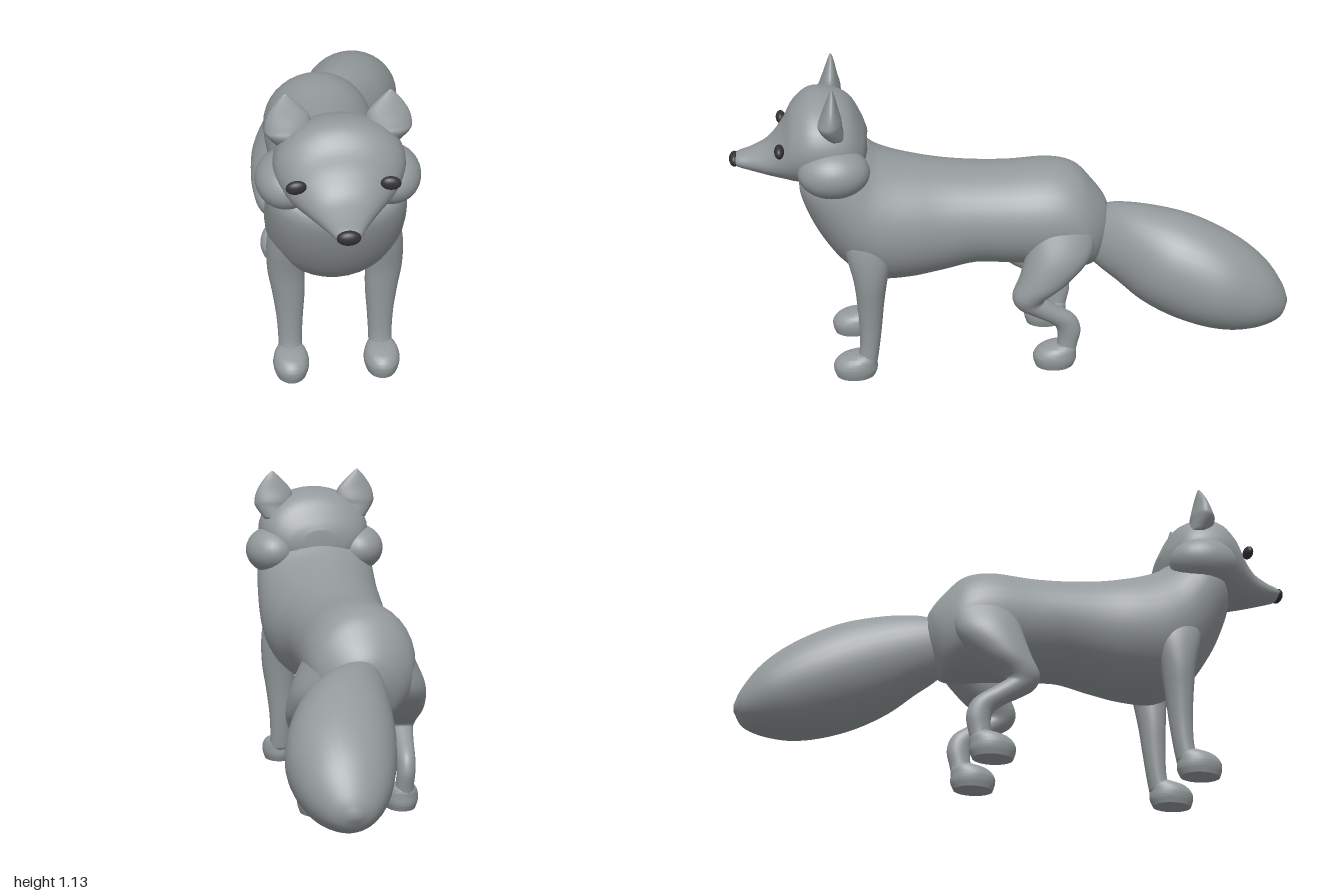
import * as THREE from 'three';
import { toCreasedNormals } from 'three/addons/utils/BufferGeometryUtils.js';

const MID = -0.053; // the body's plane of symmetry

// Smooth skin through elliptical sections.
// Each section: [z1, y1, z2, y2, halfWidth, x] - two opposite points of the side outline.
function loft(sections, steps = 5, sides = 36) {
  const a = new THREE.CatmullRomCurve3(sections.map(s => new THREE.Vector3(s[5] || 0, s[1], s[0])), false, 'catmullrom');
  const b = new THREE.CatmullRomCurve3(sections.map(s => new THREE.Vector3(s[4], s[3], s[2])), false, 'catmullrom');
  const rings = (sections.length - 1) * steps;
  const pos = [], idx = [];
  for (let i = 0; i <= rings; i++) {
    const p = a.getPoint(i / rings), q = b.getPoint(i / rings);
    for (let j = 0; j < sides; j++) {
      const t = (j / sides) * Math.PI * 2, k = Math.cos(t) / 2;
      pos.push(p.x + q.x * Math.sin(t), (p.y + q.y) / 2 + (p.y - q.y) * k, (p.z + q.z) / 2 + (p.z - q.z) * k);
    }
  }
  for (let i = 0; i < rings; i++) {
    for (let j = 0; j < sides; j++) {
      const n = (j + 1) % sides, r = i * sides, s = r + sides;
      idx.push(r + j, s + j, r + n, r + n, s + j, s + n);
    }
  }
  // end caps
  const first = pos.length / 3, last = first + 1, base = rings * sides;
  for (const s of [sections[0], sections[sections.length - 1]]) pos.push(s[5] || 0, (s[1] + s[3]) / 2, (s[0] + s[2]) / 2);
  for (let j = 0; j < sides; j++) {
    const n = (j + 1) % sides;
    idx.push(first, j, n, last, base + n, base + j);
  }
  // turn the faces outward
  const v = i => new THREE.Vector3(pos[3 * i], pos[3 * i + 1], pos[3 * i + 2]);
  let volume = 0;
  for (let i = 0; i < idx.length; i += 3) volume += v(idx[i]).dot(v(idx[i + 1]).cross(v(idx[i + 2])));
  if (volume < 0) idx.reverse();
  const g = new THREE.BufferGeometry();
  g.setAttribute('position', new THREE.Float32BufferAttribute(pos, 3));
  g.setIndex(idx);
  g.computeVertexNormals();
  return g;
}

export function createModel() {
  const fur = new THREE.MeshStandardMaterial({ color: 0x949a9c });
  fur.name = 'grey fur';
  const dark = new THREE.MeshStandardMaterial({ color: 0x333336 });
  dark.name = 'dark eyes and nose';

  const model = new THREE.Group();
  model.name = 'fox';
  const add = (name, geometry, material = fur) => {
    const m = new THREE.Mesh(geometry, material);
    m.name = name;
    m.position.x = MID;
    model.add(m);
    return m;
  };
  const ellipsoid = (name, x, y, z, rx, ry, rz, material) => {
    const m = add(name, new THREE.SphereGeometry(1, 32, 20), material);
    m.position.set(MID + x, y, z);
    m.scale.set(rx, ry, rz);
    return m;
  };
  // the same sections on the left (+x) and right
  const pair = (name, sections, finish = g => g) => {
    for (const side of [1, -1]) {
      const placed = sections.map(s => [...s.slice(0, 5), s[5] * side]);
      add((side > 0 ? 'left ' : 'right ') + name, finish(loft(placed)));
    }
  };

  // torso, from the rump to the neck
  add('body', loft([
    [-0.365, 0.54, -0.35, 0.44, 0.05],
    [-0.35, 0.60, -0.31, 0.36, 0.115],
    [-0.30, 0.67, -0.27, 0.345, 0.165],
    [-0.24, 0.73, -0.22, 0.35, 0.19],
    [-0.15, 0.755, -0.13, 0.365, 0.20],
    [0, 0.75, 0, 0.375, 0.195],
    [0.13, 0.755, 0.13, 0.385, 0.195],
    [0.25, 0.77, 0.25, 0.36, 0.205],
    [0.35, 0.79, 0.38, 0.34, 0.225],
    [0.42, 0.81, 0.50, 0.345, 0.235],
    [0.47, 0.83, 0.60, 0.41, 0.235],
    [0.50, 0.85, 0.68, 0.52, 0.232],
    [0.53, 0.87, 0.735, 0.64, 0.225],
    [0.55, 0.89, 0.75, 0.72, 0.20],
    [0.59, 0.90, 0.71, 0.78, 0.12],
  ]));

  // bushy tail, swung to the left
  add('tail', loft([
    [-0.30, 0.55, -0.27, 0.43, 0.06, 0.01],
    [-0.36, 0.59, -0.30, 0.37, 0.09, 0.04],
    [-0.44, 0.605, -0.38, 0.315, 0.13, 0.085],
    [-0.55, 0.60, -0.46, 0.26, 0.165, 0.13],
    [-0.66, 0.575, -0.56, 0.21, 0.183, 0.16],
    [-0.77, 0.525, -0.67, 0.175, 0.185, 0.183],
    [-0.86, 0.465, -0.78, 0.155, 0.165, 0.193],
    [-0.93, 0.395, -0.88, 0.16, 0.13, 0.197],
    [-0.98, 0.315, -0.96, 0.185, 0.075, 0.198],
    [-1.0, 0.26, -0.998, 0.235, 0.015, 0.198],
  ]));

  // head and muzzle
  add('head', loft([
    [0.505, 0.91, 0.505, 0.83, 0.06],
    [0.52, 0.95, 0.52, 0.79, 0.13],
    [0.56, 1.02, 0.56, 0.755, 0.185],
    [0.62, 1.055, 0.62, 0.74, 0.21],
    [0.70, 1.06, 0.70, 0.738, 0.21],
    [0.76, 1.015, 0.76, 0.742, 0.18],
    [0.80, 0.945, 0.80, 0.75, 0.142],
    [0.85, 0.885, 0.85, 0.76, 0.10],
    [0.91, 0.855, 0.91, 0.775, 0.065],
    [0.96, 0.84, 0.96, 0.79, 0.042],
    [0.978, 0.825, 0.978, 0.805, 0.02],
  ]));
  ellipsoid('nose', 0, 0.815, 0.972, 0.038, 0.025, 0.019, dark);
  for (const side of [1, -1]) {
    const label = side > 0 ? 'left ' : 'right ';
    ellipsoid(label + 'cheek', side * 0.17, 0.825, 0.625, 0.1, 0.09, 0.125, fur);
    const eye = ellipsoid(label + 'eye', side * 0.149, 0.903, 0.808, 0.033, 0.023, 0.017, dark);
    eye.rotation.z = side * -0.12;
  }
  pair('ear', [
    [0.65, 0.95, 0.58, 0.95, 0.05, 0.15],
    [0.672, 0.995, 0.588, 0.995, 0.068, 0.163],
    [0.666, 1.02, 0.59, 1.02, 0.075, 0.161],
    [0.65, 1.06, 0.60, 1.06, 0.066, 0.160],
    [0.635, 1.10, 0.608, 1.10, 0.036, 0.165],
    [0.625, 1.125, 0.615, 1.125, 0.012, 0.167],
    [0.621, 1.133, 0.619, 1.133, 0.003, 0.167],
  ]);

  // front legs
  pair('front leg', [
    [0.61, 0.64, 0.42, 0.60, 0.04, 0.165],
    [0.60, 0.52, 0.43, 0.50, 0.06, 0.17],
    [0.575, 0.40, 0.452, 0.40, 0.063, 0.168],
    [0.565, 0.30, 0.467, 0.30, 0.056, 0.16],
    [0.56, 0.20, 0.478, 0.20, 0.046, 0.157],
    [0.562, 0.11, 0.49, 0.11, 0.041, 0.157],
    [0.58, 0.05, 0.50, 0.05, 0.042, 0.158],
  ]);

  // hind legs: thigh, bent knee, shin and hock
  pair('hind leg', [
    [-0.08, 0.62, -0.30, 0.56, 0.05, 0.13],
    [-0.05, 0.48, -0.28, 0.45, 0.083, 0.155],
    [-0.02, 0.375, -0.20, 0.36, 0.078, 0.173],
    [0.006, 0.31, -0.125, 0.305, 0.06, 0.18],
    [-0.01, 0.262, -0.11, 0.288, 0.047, 0.18],
    [-0.055, 0.23, -0.12, 0.28, 0.041, 0.178],
    [-0.11, 0.20, -0.16, 0.253, 0.036, 0.174],
    [-0.15, 0.17, -0.223, 0.208, 0.034, 0.168],
    [-0.162, 0.135, -0.246, 0.15, 0.033, 0.165],
    [-0.16, 0.09, -0.236, 0.09, 0.033, 0.162],
    [-0.15, 0.04, -0.225, 0.04, 0.038, 0.16],
  ]);

  // paws with flat soles
  const paw = (name, z) => pair(name, [
    [z + 0.15, 0, z + 0.01, 0, 0.053, 0.158],
    [z + 0.158, 0.025, z, 0.025, 0.061, 0.158],
    [z + 0.157, 0.05, z, 0.05, 0.062, 0.158],
    [z + 0.135, 0.075, z, 0.075, 0.053, 0.158],
    [z + 0.09, 0.09, z + 0.01, 0.09, 0.036, 0.158],
  ], g => toCreasedNormals(g, 0.9));
  paw('front paw', 0.5);
  paw('hind paw', -0.232);

  return model;
}
